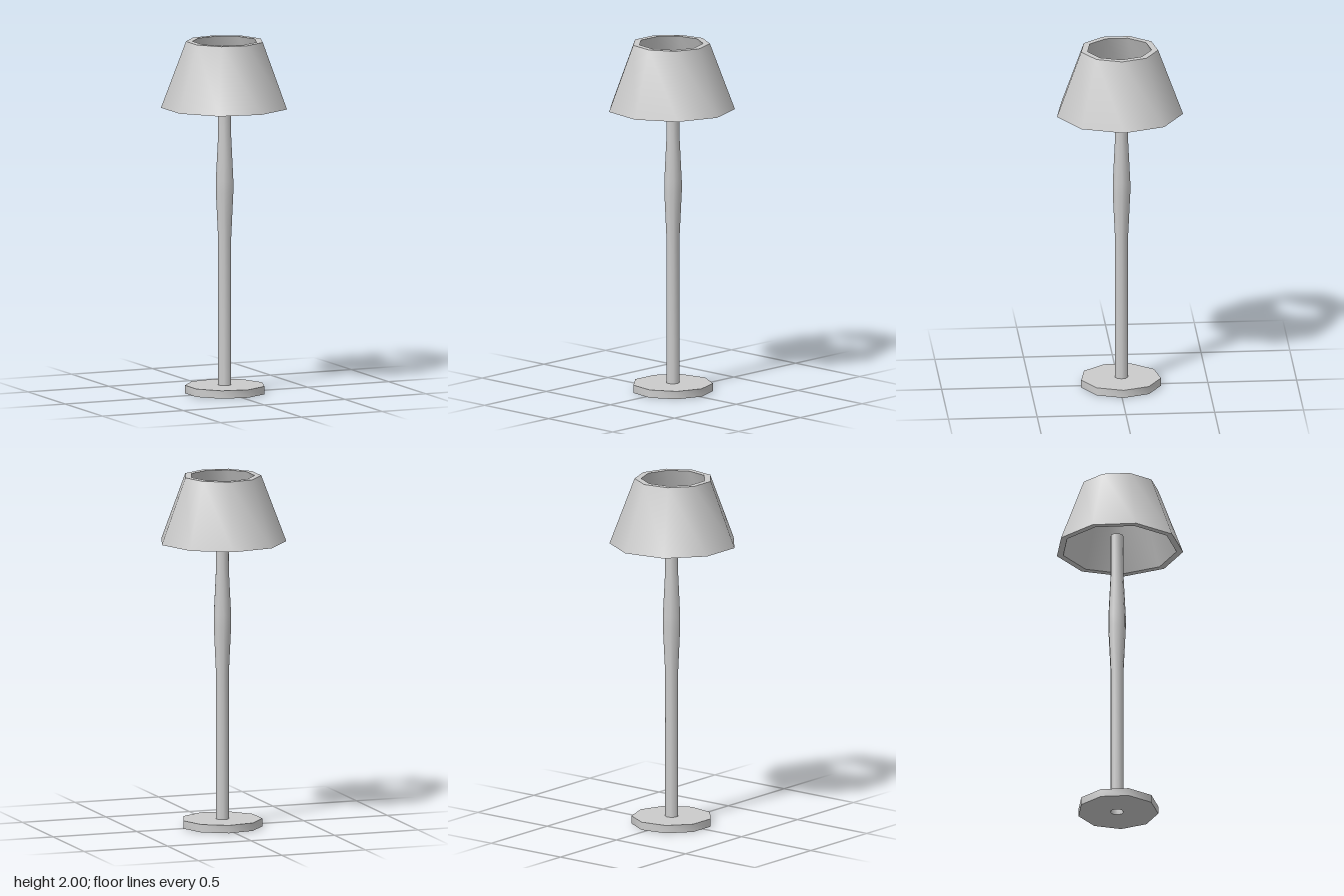
import * as THREE from 'three';
import { toCreasedNormals } from 'three/addons/utils/BufferGeometryUtils.js';

const SIDES = 9;
const CREASE = 0.85; // smooth around the nine sides, sharp at the rims

function addPart(group, name, geometry, x, y, z, side = THREE.FrontSide) {
  const material = new THREE.MeshStandardMaterial({ color: 0xcccccc, side });
  const mesh = new THREE.Mesh(toCreasedNormals(geometry, CREASE), material);
  mesh.name = name;
  mesh.position.set(x, y, z);
  group.add(mesh);
}

// Nine-sided turned form with one corner on +x
function turned(profile) {
  const points = profile.map(([r, y]) => new THREE.Vector2(r, y));
  return new THREE.LatheGeometry(points, SIDES, Math.PI / 2);
}

// Corners of a regular nine-sided outline
function outline(radius, cx = 0, cy = 0) {
  return Array.from({ length: SIDES }, (_, i) => {
    const a = (i / SIDES) * Math.PI * 2;
    return new THREE.Vector2(cx + radius * Math.cos(a), cy + radius * Math.sin(a));
  });
}

export function createModel() {
  const lamp = new THREE.Group();
  lamp.name = 'floorLamp';

  // Base plate with a hole under the pole
  const plate = new THREE.Shape(outline(0.228));
  plate.holes.push(new THREE.Path(outline(0.037, -0.001, 0.005)));
  const base = new THREE.ExtrudeGeometry(plate, { depth: 0.045, bevelEnabled: false });
  base.rotateX(-Math.PI / 2);
  addPart(lamp, 'base', base, -0.006, 0, -0.0085);

  // Open tubular pole with a swelling above the middle
  const pole = turned([
    [0.037, 0.045], [0.037, 0.87], [0.05, 1.14], [0.05, 1.21], [0.037, 1.47], [0.037, 1.71],
  ]);
  addPart(lamp, 'pole', pole, -0.007, 0, -0.0135, THREE.DoubleSide);

  // Thick-walled conical shade, open at both ends
  const shade = turned([
    [0.361, 1.625], [0.22, 2], [0.183, 2], [0.324, 1.625], [0.361, 1.625],
  ]);
  addPart(lamp, 'shade', shade, -0.011, 0, -0.001);

  return lamp;
}
